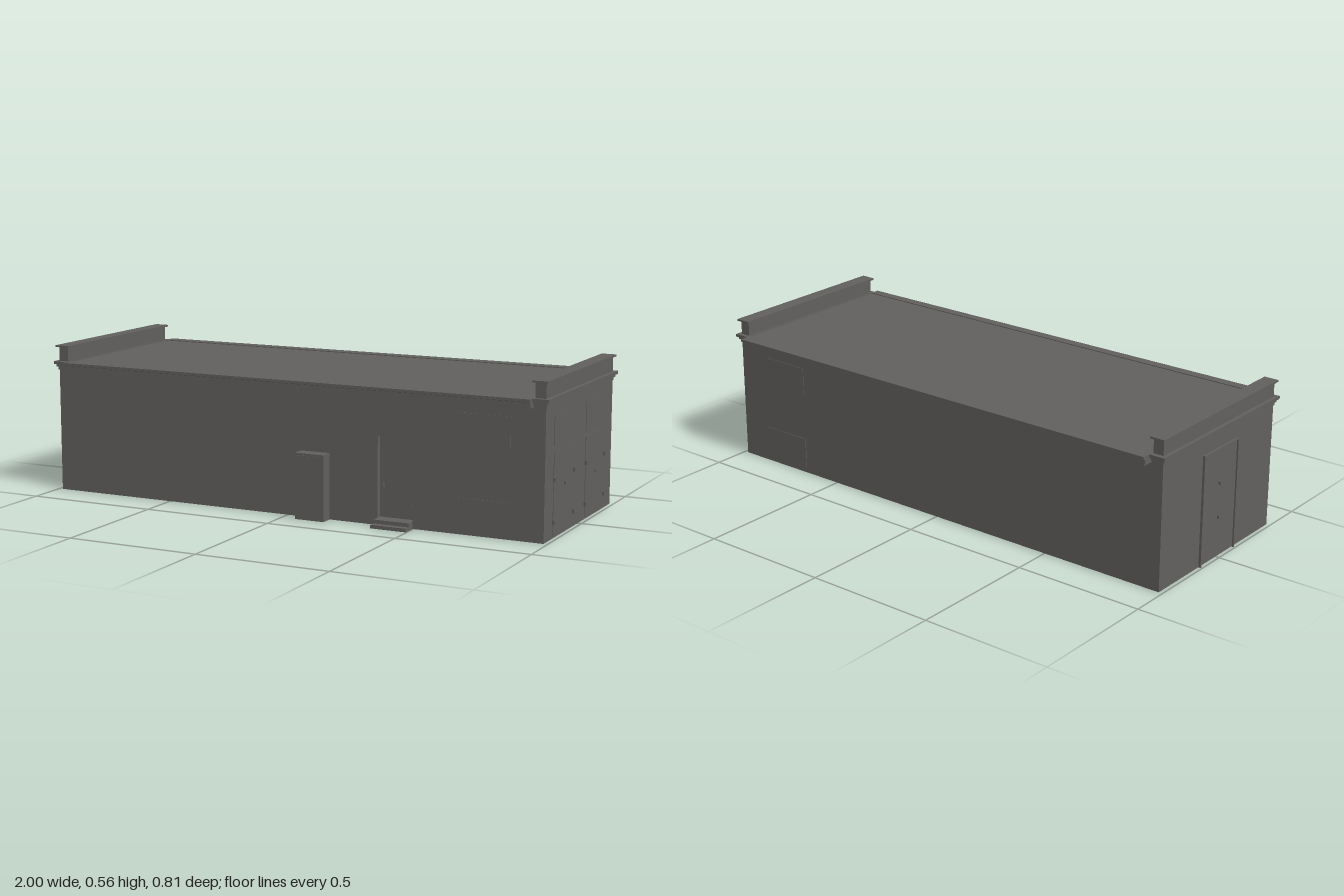
import * as THREE from 'three';

export function createModel() {
  const model = new THREE.Group();
  const concrete = new THREE.MeshStandardMaterial({ color: 0x62605e, side: THREE.DoubleSide });
  concrete.name = 'grey concrete';

  const X = 0.985, ZF = 0.345, ZB = -0.355, H = 0.497, ZC = (ZF + ZB) / 2;

  function add(name, geometry, parent = model) {
    const mesh = new THREE.Mesh(geometry, concrete);
    mesh.name = name;
    parent.add(mesh);
    return mesh;
  }
  // Box given by its limits on each axis
  function box(name, x0, x1, y0, y1, z0, z1, parent) {
    const g = new THREE.BoxGeometry(x1 - x0, y1 - y0, z1 - z0);
    g.translate((x0 + x1) / 2, (y0 + y1) / 2, (z0 + z1) / 2);
    return add(name, g, parent);
  }
  const rect = (Type, x0, x1, y0, y1) => new Type([
    [x0, y0], [x1, y0], [x1, y1], [x0, y1],
  ].map(([x, y]) => new THREE.Vector2(x, y)));

  // Front wall with openings for the door and the meter cabinet
  const front = rect(THREE.Shape, -X, X, 0, H);
  front.holes.push(rect(THREE.Path, 0.36, 0.497, 0.027, 0.32));
  front.holes.push(rect(THREE.Path, 0.055, 0.17, 0.001, 0.243));
  add('frontWall', new THREE.ShapeGeometry(front)).position.z = ZF;

  // Plain back and end walls, open underneath
  const back = add('backWall', new THREE.PlaneGeometry(2 * X, H));
  back.position.set(0, H / 2, ZB);
  back.rotation.y = Math.PI;
  for (const s of [1, -1]) {
    const end = add(s > 0 ? 'leftWall' : 'rightWall', new THREE.PlaneGeometry(ZF - ZB, H));
    end.position.set(s * X, H / 2, ZC);
    end.rotation.y = s * Math.PI / 2;
  }

  // Flat roof and the moulded eaves along both long sides
  const roof = add('roof', new THREE.PlaneGeometry(1.97, ZF - ZB));
  roof.rotation.x = -Math.PI / 2;
  roof.position.set(0, H, ZC);
  function eave(name, wallZ, s, reach) {
    const profile = new THREE.Shape([
      [0, 0.467], [reach - 0.007, 0.467], [reach - 0.007, 0.488],
      [reach, 0.49], [reach, 0.5], [0, 0.5],
    ].map(([z, y]) => new THREE.Vector2(z, y)));
    const g = new THREE.ExtrudeGeometry(profile, { depth: 1.88, bevelEnabled: false });
    g.translate(0, 0, -0.94);
    const mesh = add(name, g);
    mesh.rotation.y = -s * Math.PI / 2;
    mesh.position.z = wallZ;
  }
  eave('frontEave', ZF, 1, 0.037);
  eave('backEave', ZB, -1, 0.049);

  // Parapet with cap and stepped cornice at each end
  for (const s of [1, -1]) {
    const parapet = new THREE.Group();
    parapet.name = s > 0 ? 'leftParapet' : 'rightParapet';
    model.add(parapet);
    const layers = [
      ['corniceLower', 0.94, 0.988, 0.467, 0.479, 0.003],
      ['corniceMiddle', 0.94, 0.993, 0.479, 0.489, 0.009],
      ['corniceUpper', 0.94, 1, 0.489, 0.5, 0.017],
      ['parapetWall', 0.945, 0.985, 0.5, 0.554, 0],
      ['parapetCap', 0.937, 0.994, 0.554, 0.561, 0.011],
    ];
    for (const [name, a, b, y0, y1, out] of layers) {
      box(name, Math.min(s * a, s * b), Math.max(s * a, s * b), y0, y1, ZB - out, ZF + out, parapet);
    }
  }

  // Recessed front door: jambs, lintel, leaf and hardware
  const door = new THREE.Group();
  door.name = 'frontDoor';
  model.add(door);
  box('doorLeaf', 0.36, 0.497, 0.027, 0.32, ZF - 0.026, ZF - 0.02, door);
  box('jamb', 0.357, 0.36, 0.027, 0.32, ZF - 0.026, ZF, door);
  box('jamb', 0.497, 0.5, 0.027, 0.32, ZF - 0.026, ZF, door);
  box('lintel', 0.357, 0.5, 0.32, 0.323, ZF - 0.026, ZF, door);
  box('doorHandle', 0.372, 0.378, 0.135, 0.152, ZF - 0.02, ZF - 0.012, door);
  for (const y of [0.07, 0.275]) box('hinge', 0.488, 0.494, y, y + 0.015, ZF - 0.02, ZF - 0.015, door);

  // Two steps below the door
  box('upperStep', 0.36, 0.497, 0.013, 0.027, ZF - 0.026, 0.38);
  box('lowerStep', 0.36, 0.497, 0, 0.013, ZF, 0.404);

  // Hollow meter cabinet on the front wall
  const cabinet = new THREE.Group();
  cabinet.name = 'meterCabinet';
  model.add(cabinet);
  box('cabinetFront', 0.055, 0.17, 0, 0.243, 0.39, 0.394, cabinet);
  box('cabinetSide', 0.055, 0.058, 0, 0.243, ZF, 0.39, cabinet);
  box('cabinetSide', 0.167, 0.17, 0, 0.243, ZF, 0.39, cabinet);
  box('cabinetTop', 0.055, 0.17, 0.24, 0.243, ZF, 0.39, cabinet);
  box('cabinetDoor', 0.064, 0.161, 0.068, 0.235, 0.394, 0.396, cabinet);

  // Shallow panels near one end of the long walls
  for (const [y0, y1] of [[0.065, 0.13], [0.325, 0.43]]) box('frontPanel', 0.66, 0.86, y0, y1, ZF, ZF + 0.002);
  for (const [y0, y1] of [[0.02, 0.14], [0.325, 0.43]]) box('backPanel', 0.66, 0.86, y0, y1, ZB - 0.002, ZB);

  // Pair of hinged doors with panels above on the left end
  for (const [z0, z1, latchZ, latchY] of [[0.055, 0.26, 0.155, 0.177], [-0.273, -0.068, -0.17, 0.16]]) {
    const leaf = new THREE.Group();
    leaf.name = 'endDoor';
    model.add(leaf);
    box('leaf', X, X + 0.002, 0.012, 0.305, z0, z1, leaf);
    box('panelAbove', X, X + 0.002, 0.325, 0.43, z0, z1, leaf);
    box('latch', X, X + 0.009, latchY - 0.005, latchY + 0.005, latchZ - 0.004, latchZ + 0.004, leaf);
    for (const z of [z0 + 0.004, z1 - 0.002]) {
      for (const y of [0.057, 0.207]) {
        box('hingePlate', X, X + 0.006, y + 0.001, y + 0.008, z - 0.007, z + 0.007, leaf);
        box('hingePin', X, X + 0.009, y - 0.007, y + 0.008, z + 0.001, z + 0.007, leaf);
      }
    }
  }

  // Tall framed door on the right end
  const tall = new THREE.Group();
  tall.name = 'tallEndDoor';
  model.add(tall);
  box('tallLeaf', -X - 0.003, -X, 0.005, 0.42, -0.11, 0.11, tall);
  for (const z of [-0.11, 0.104]) box('tallFrame', -X - 0.009, -X, 0, 0.42, z, z + 0.006, tall);
  box('tallFrame', -X - 0.009, -X, 0.414, 0.42, -0.104, 0.104, tall);
  for (const y of [0.15, 0.28]) box('tallHandle', -X - 0.011, -X, y, y + 0.012, -0.006, 0.002, tall);

  return model;
}
